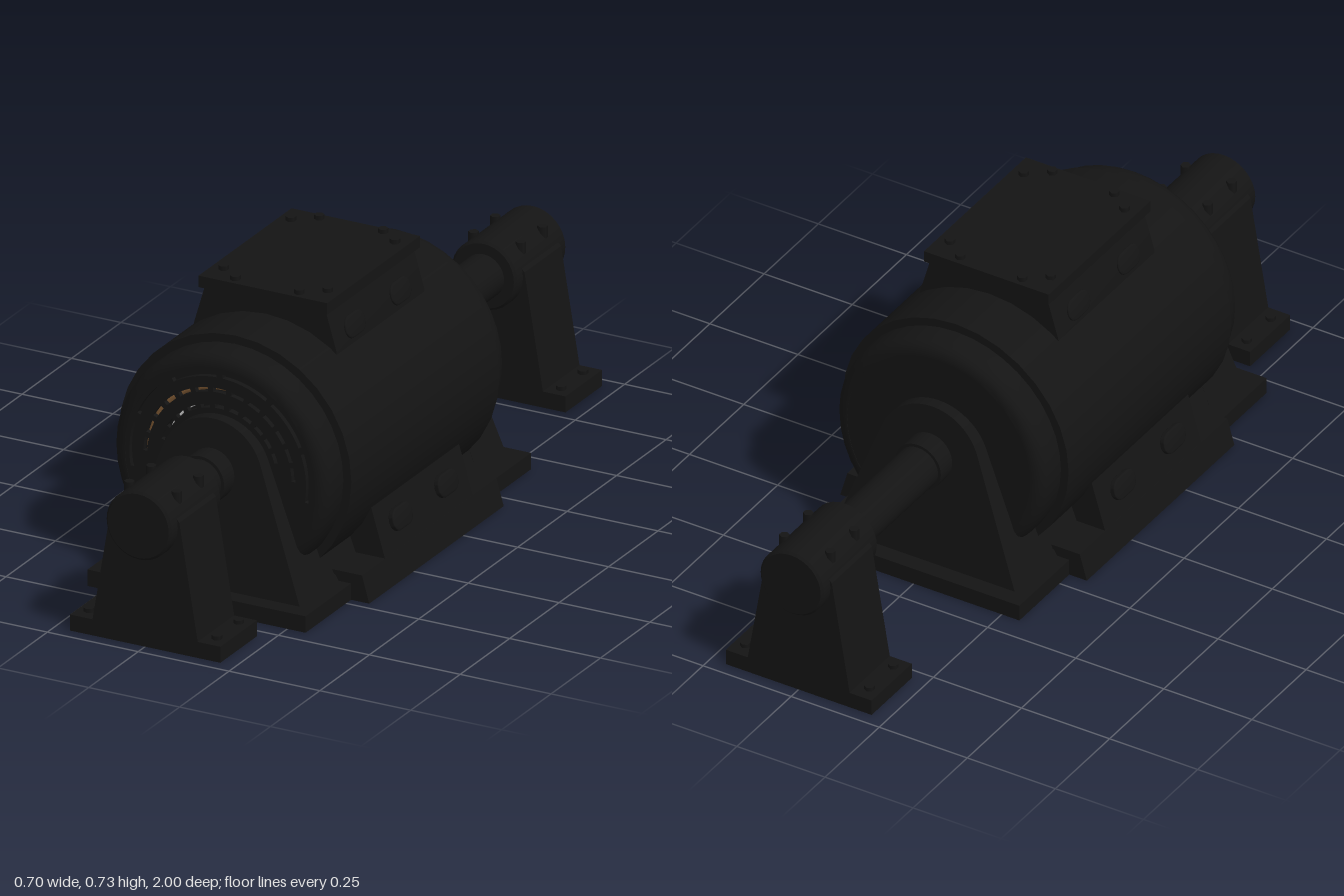
import * as THREE from 'three';
import { toCreasedNormals } from 'three/addons/utils/BufferGeometryUtils.js';

const mat = (color) => new THREE.MeshStandardMaterial({ color, side: THREE.DoubleSide });
const paint = mat(0x141414);
const copper = mat(0x7d5833);
const steel = mat(0xcccccc);
const AXIS = 0.327; // shaft height
const rad = THREE.MathUtils.degToRad;

function add(parent, name, geometry, x = 0, y = 0, z = 0, material = paint) {
  const mesh = new THREE.Mesh(geometry, material);
  mesh.name = name;
  mesh.position.set(x, y, z);
  parent.add(mesh);
  return mesh;
}
const box = (w, h, d) => new THREE.BoxGeometry(w, h, d);
const rod = (r, length, sides = 32) => new THREE.CylinderGeometry(r, r, length, sides).rotateX(Math.PI / 2);
const polygon = (pts) => new THREE.Shape(pts.map(([x, y]) => new THREE.Vector2(x, y)));
const rect = (x, y) => polygon([[-x, -y], [x, -y], [x, y], [-x, y]]);

// Extrudes an x-y shape from z0 to z1
function prism(shape, z0, z1, curveSegments = 16) {
  const g = new THREE.ExtrudeGeometry(shape, { depth: z1 - z0, bevelEnabled: false, curveSegments });
  return toCreasedNormals(g.translate(0, 0, z0), 0.5);
}
// Right-side profile to its left-side mirror image
const mirrored = (pts) => pts.map(([x, y]) => [-x, y]).reverse();
const symmetric = (pts) => polygon([...pts, ...mirrored(pts)]);

// Horizontal rectangular frame from y0 to y1
function openFrame(outerX, outerZ, innerX, innerZ, y0, y1) {
  const s = rect(outerX, outerZ);
  s.holes.push(rect(innerX, innerZ));
  return new THREE.ExtrudeGeometry(s, { depth: y1 - y0, bevelEnabled: false }).rotateX(-Math.PI / 2).translate(0, y0, 0);
}

function bolt(parent, x, y, z, h = 0.012, r = 0.013) {
  add(parent, 'bolt', new THREE.CylinderGeometry(r, r, h, 6), x, y + h / 2, z);
}

// Curved vent slot centred on the shaft
function slot(radius, centre, span, width) {
  const a = rad(centre - span / 2), b = rad(centre + span / 2);
  const path = new THREE.Path();
  path.absarc(0, 0, radius + width / 2, a, b, false);
  path.absarc(0, 0, radius - width / 2, b, a, true);
  path.closePath();
  return path;
}

// Raised oblong cover on a sloping side wall
function sidePad(parent, side, x, y, z, tilt) {
  const s = new THREE.Shape();
  s.absarc(0.019, 0, 0.025, -Math.PI / 2, Math.PI / 2, false);
  s.absarc(-0.019, 0, 0.025, Math.PI / 2, Math.PI * 1.5, false);
  const g = new THREE.ExtrudeGeometry(s, {
    depth: 0.008, bevelEnabled: true, bevelSize: 0.004, bevelThickness: 0.004, bevelSegments: 2, curveSegments: 10,
  });
  const pad = add(parent, 'sidePad', toCreasedNormals(g, 0.9), side * x, y, z);
  pad.rotation.set(0, side * Math.PI / 2, 0);
  pad.rotateX(-tilt);
}

// Pedestal piece with a round head and a front that leans back
function pedestalPart(shape, z0, z1) {
  const g = new THREE.ExtrudeGeometry(shape, { depth: z1 - z0, bevelEnabled: false, curveSegments: 24 }).translate(0, 0, z0);
  const p = g.attributes.position;
  for (let i = 0; i < p.count; i++) {
    if (p.getZ(i) > 0.45) p.setZ(i, p.getZ(i) - 0.04 * (p.getY(i) - 0.04) / 0.43);
  }
  return toCreasedNormals(g, 0.5);
}

// End bell, pedestal and collar; built facing +z
function motorEnd(vented) {
  const end = new THREE.Group();
  end.name = vented ? 'frontEnd' : 'rearEnd';
  const rim = [[0.298, 0.36], [0.298, 0.415], [0.294, 0.435], [0.285, 0.448], [0.27, 0.455], [0.26, 0.455], [0.26, 0.44]];
  const bell = new THREE.LatheGeometry(rim.map(([r, z]) => new THREE.Vector2(r, z)), 40).rotateX(Math.PI / 2);
  add(end, 'endBell', toCreasedNormals(bell, 0.7), 0, AXIS);

  const face = new THREE.Shape();
  face.absarc(0, 0, 0.262, 0, Math.PI * 2, false);
  if (vented) {
    for (let k = -6; k <= 6; k++) face.holes.push(slot(0.204, 90 + 13.9 * k, 10, 0.011));
    for (let k = -5; k <= 5; k++) face.holes.push(slot(0.162, 90 + 13.9 * k, 9, 0.01));
    for (let k = -2.5; k <= 2.5; k++) face.holes.push(slot(0.243, 90 + 34 * k, 30, 0.01));
    // Windings and rotor edge behind the slots
    add(end, 'windings', new THREE.TorusGeometry(0.204, 0.009, 6, 48), 0, AXIS, 0.428, copper);
    add(end, 'rotorEdge', new THREE.TorusGeometry(0.163, 0.003, 6, 48), 0, AXIS, 0.42, steel);
  }
  add(end, 'bellFace', prism(face, 0.44, 0.454, 24), 0, AXIS);

  // Hollow pedestal: leaning front plate and an arched side wall
  const plate = new THREE.Shape();
  plate.moveTo(-0.26, 0.04);
  plate.lineTo(0.26, 0.04);
  plate.absarc(0, AXIS, 0.143, rad(20.5), rad(159.5), false);
  plate.closePath();
  const arch = new THREE.Shape();
  arch.moveTo(0.246, 0.04);
  arch.lineTo(0.26, 0.04);
  arch.absarc(0, AXIS, 0.143, rad(20.5), rad(159.5), false);
  arch.lineTo(-0.26, 0.04);
  arch.lineTo(-0.246, 0.04);
  arch.absarc(0, AXIS, 0.13, rad(159.5), rad(20.5), true);
  arch.closePath();
  add(end, 'pedestalPlate', pedestalPart(plate, 0.51, 0.525));
  add(end, 'pedestalWall', pedestalPart(arch, 0.38, 0.515));
  add(end, 'shaftCollar', rod(0.065, 0.11), 0, AXIS + 0.003, 0.495);
  return end;
}

function motor() {
  const g = new THREE.Group();
  g.name = 'motor';
  add(g, 'drum', rod(0.32, 0.75), 0, AXIS);
  const front = motorEnd(true), rear = motorEnd(false);
  rear.rotation.y = Math.PI;
  g.add(front, rear);

  // Hollow base: thin rim with a narrow top flange
  add(g, 'baseRim', openFrame(0.3, 0.57, 0.285, 0.555, 0, 0.043));
  add(g, 'baseFlange', openFrame(0.3, 0.57, 0.248, 0.512, 0.031, 0.043));

  // Thin cradle walls, hollow feet and hollow sloping side blocks
  const wall = [[0.26, 0.04], [0.22, 0.145], [0.208, 0.145], [0.248, 0.04]];
  const foot = [[0.35, 0], [0.33, 0.07], [0.24, 0.07], [0.24, 0.058], [0.32, 0.058], [0.335, 0]];
  const block = [[0.35, 0], [0.29, 0.2], [0.22, 0.2], [0.22, 0.188], [0.28, 0.188], [0.335, 0]];
  const footEnd = [[0.35, 0], [0.33, 0.07], [0.25, 0.07], [0.29, 0]];
  const blockEnd = [[0.35, 0], [0.29, 0.2], [0.22, 0.2], [0.24, 0.07], [0.29, 0]];
  for (const side of [1, -1]) {
    const profile = (pts) => polygon(side > 0 ? pts : mirrored(pts));
    add(g, 'cradleWall', prism(profile(wall), -0.4, 0.4));
    add(g, 'sideFoot', prism(profile(foot), -0.34, 0.34));
    add(g, 'sideBlock', prism(profile(block), -0.222, 0.222));
    for (const [z, pts] of [[0.34, footEnd], [0.222, blockEnd]]) {
      add(g, 'endPlate', prism(profile(pts), z - 0.012, z));
      add(g, 'endPlate', prism(profile(pts), -z, 0.012 - z));
    }
    for (const z of [-0.115, 0.115]) {
      sidePad(g, side, 0.31, 0.137, z, rad(16.7));
      sidePad(g, side, 0.18, 0.616, z, rad(18.4));
    }
  }

  // Terminal box with bolted lid
  add(g, 'terminalBox', prism(symmetric([[0.2, 0.5], [0.196, 0.585], [0.165, 0.69]]), -0.222, 0.222));
  add(g, 'terminalLid', box(0.354, 0.03, 0.47), 0, 0.7, 0);
  for (const sx of [1, -1]) for (const sz of [1, -1]) {
    bolt(g, sx * 0.088, 0.714, sz * 0.212);
    bolt(g, sx * 0.143, 0.714, sz * 0.17);
  }
  return g;
}

// Bearing stand; built at the +z end
function bearingStand() {
  const g = new THREE.Group();
  g.name = 'bearingStand';
  add(g, 'standFoot', box(0.414, 0.042, 0.185), 0, 0.021, 0.8725);
  add(g, 'standColumn', prism(symmetric([[0.145, 0.04], [0.094, 0.345], [0.085, 0.355]]), 0.78, 0.965));
  const r = 0.09;
  const pts = [[0, 0.745], [r - 0.006, 0.745], [r, 0.751], [r, 0.994], [r - 0.006, 1], [0, 1]];
  const housing = new THREE.LatheGeometry(pts.map(([a, b]) => new THREE.Vector2(a, b)), 32).rotateX(Math.PI / 2);
  add(g, 'bearingHousing', toCreasedNormals(housing, 0.6), 0, 0.33);
  for (const x of [-1, 1]) for (const z of [0.815, 0.925]) {
    bolt(g, x * 0.065, 0.365, z, 0.043);
    bolt(g, x * 0.176, 0.042, z, 0.01);
  }
  return g;
}

export function createModel() {
  const model = new THREE.Group();
  model.name = 'electricMotor';
  const body = motor();
  body.position.z = 0.135;
  const frontStand = bearingStand(), rearStand = bearingStand();
  rearStand.rotation.y = Math.PI;
  model.add(body, frontStand, rearStand);
  add(model, 'shaft', rod(0.057, 1.6), 0, 0.33);
  return model;
}
